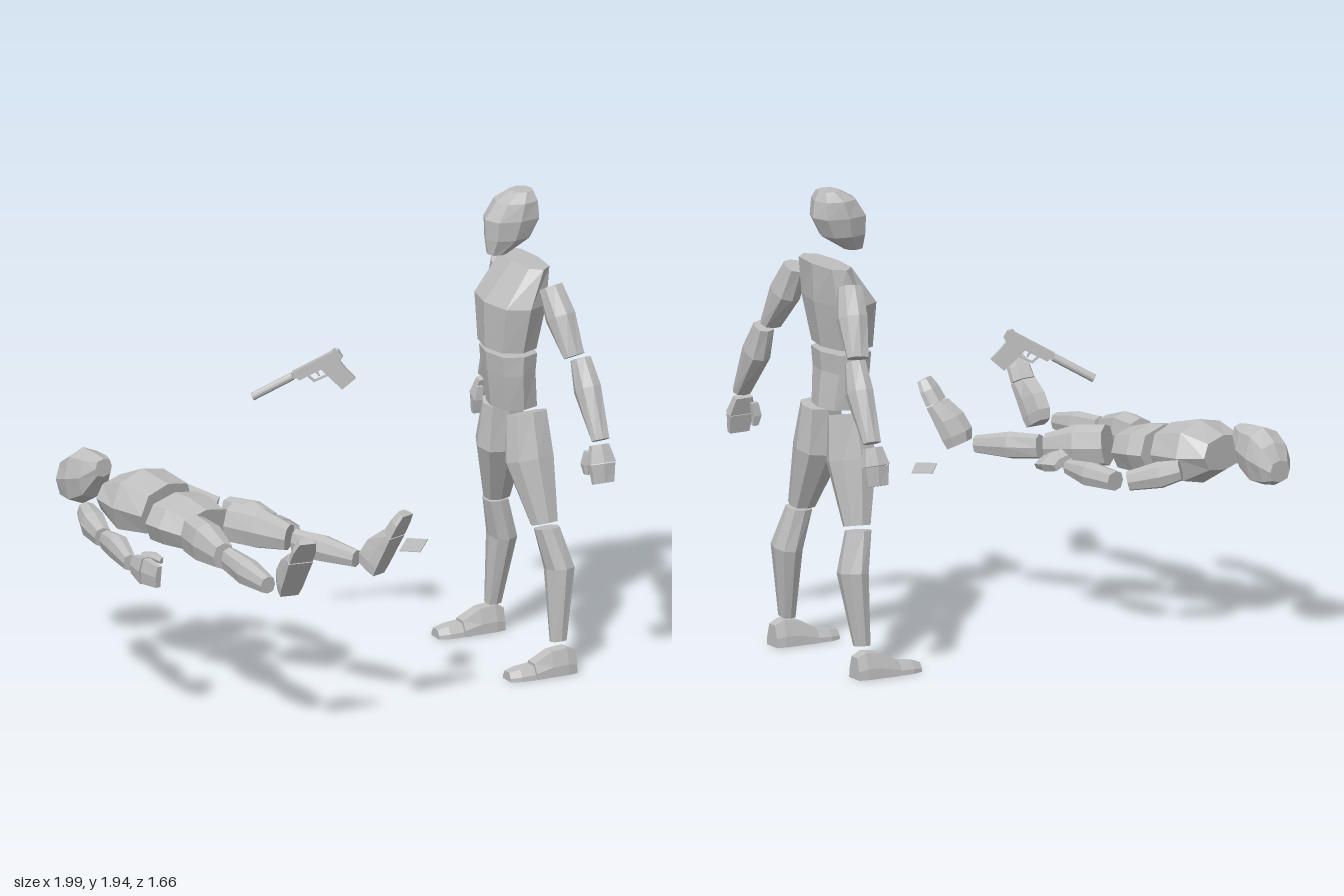
import * as THREE from 'three';

const grey = new THREE.MeshStandardMaterial({ color: 0xbfbfbf, flatShading: true });
grey.name = 'plain grey';

const V = (a) => new THREE.Vector3(...a);
const X = [1, 0, 0], Y = [0, 1, 0], Z = [0, 0, 1];
const ROUND = [[1, 0], [0.76, 0.76], [0, 1], [-0.76, 0.76], [-1, 0], [-0.76, -0.76], [0, -1], [0.76, -0.76]];
const SOLE = [[-1, -1], [1, -1], [0.95, -0.2], [0.55, 1], [-0.55, 1], [-0.95, -0.2]];
const BLOCK = [[-1, -0.8], [1, -0.8], [1, 0.6], [0, 1], [-1, 0.6]];

// Faceted solid through rows of [x, y, z, halfWidth, halfDepth]; depth follows the hint axis
function loft(name, hint, rows, ring = ROUND, axis) {
  const t = (axis ? V(axis) : V(rows.at(-1)).sub(V(rows[0]))).normalize();
  const u = V(hint).cross(t).normalize();
  const v = t.clone().cross(u);
  const n = ring.length, pts = [];
  const rings = rows.map(([x, y, z, a, b]) => ring.map(([p, q]) =>
    new THREE.Vector3(x, y, z).addScaledVector(u, p * a).addScaledVector(v, q * b)));
  for (let r = 0; r < rings.length - 1; r++) {
    const A = rings[r], B = rings[r + 1];
    for (let i = 0; i < n; i++) {
      const j = (i + 1) % n;
      pts.push(A[i], A[j], B[j], A[i], B[j], B[i]);
    }
  }
  const first = rings[0], last = rings.at(-1);
  for (let i = 1; i < n - 1; i++) {
    pts.push(first[0], first[i + 1], first[i], last[0], last[i], last[i + 1]);
  }
  const geo = new THREE.BufferGeometry().setFromPoints(pts);
  geo.computeVertexNormals();
  const mesh = new THREE.Mesh(geo, grey);
  mesh.name = name;
  return mesh;
}

// Put a part so that its +z points forward and its +y follows the up hint
function place(part, origin, forward, up) {
  const t = V(forward).normalize();
  const u = V(up).cross(t).normalize();
  const m = new THREE.Matrix4().makeBasis(u, t.clone().cross(u), t);
  part.quaternion.setFromRotationMatrix(m);
  part.position.set(...origin);
  return part;
}

function group(name, ...parts) {
  const g = new THREE.Group();
  g.name = name;
  g.add(...parts);
  return g;
}

// Head, facing +z
const head = () => group('head', loft('skull', Z, [
  [0, -0.125, 0.068, 0.04, 0.038], [0, -0.06, 0.02, 0.078, 0.095], [0, 0.02, 0, 0.092, 0.118],
  [0, 0.09, -0.02, 0.083, 0.088], [0, 0.127, -0.045, 0.05, 0.045]], ROUND, Y));

// Foot with separate toe block, heel at the origin, toes towards +z
const foot = () => group('foot',
  loft('heel and instep', Y, [
    [0, 0.045, 0, 0.04, 0.045], [0, 0.054, 0.04, 0.048, 0.054],
    [0, 0.05, 0.11, 0.05, 0.05], [0, 0.03, 0.185, 0.054, 0.03]], SOLE, Z),
  loft('toes', Y, [
    [0, 0.026, 0.19, 0.052, 0.026], [0, 0.023, 0.25, 0.05, 0.023],
    [0, 0.018, 0.295, 0.036, 0.018]], SOLE, Z));

// Hand with fingers towards +z, thumb on the given side
const hand = (side) => group('hand',
  loft('palm', Y, [[0, 0, 0, 0.038, 0.02], [0, 0.002, 0.075, 0.056, 0.026]], BLOCK, Z),
  loft('fingers', Y, [[0, 0, 0.078, 0.054, 0.022], [0, -0.012, 0.155, 0.045, 0.015]], BLOCK, Z),
  loft('thumb', Y, [[side * 0.04, -0.025, 0.02, 0.014, 0.016], [side * 0.05, -0.045, 0.07, 0.017, 0.017],
    [side * 0.046, -0.055, 0.11, 0.011, 0.012]], BLOCK));

// Upright figure, facing -x, mirrored about z = -0.05
function standingFigure() {
  const c = -0.05;
  const g = group('standingFigure',
    place(head(), [0.8, 1.812, c], [-1, 0, 0], Y),
    loft('chest', X, [[0.78, 1.3, c, 0.147, 0.1], [0.795, 1.49, c, 0.187, 0.118],
      [0.86, 1.645, c, 0.17, 0.06]], ROUND, Y),
    loft('abdomen', X, [[0.8, 1.05, c, 0.115, 0.093], [0.785, 1.2, c, 0.137, 0.093],
      [0.785, 1.28, c, 0.142, 0.1]], ROUND, Y));
  for (const s of [1, -1]) {
    const limb = (name, rows) => loft(name, X, rows.map(([x, y, d, a, b]) => [x, y, c + s * d, a, b]));
    g.add(
      limb('upperArm', [[0.87, 1.585, 0.21, 0.042, 0.052], [0.89, 1.47, 0.26, 0.062, 0.06],
        [0.91, 1.325, 0.34, 0.03, 0.048]]),
      limb('forearm', [[0.932, 1.315, 0.355, 0.037, 0.043], [0.94, 1.2, 0.4, 0.06, 0.053],
        [0.945, 1.015, 0.508, 0.026, 0.04]]),
      limb('thigh', [[0.815, 1.035, 0.105, 0.06, 0.09], [0.815, 0.85, 0.13, 0.085, 0.103],
        [0.84, 0.6, 0.215, 0.046, 0.057]]),
      limb('shin', [[0.843, 0.585, 0.23, 0.048, 0.053], [0.885, 0.42, 0.257, 0.07, 0.057],
        [0.863, 0.125, 0.292, 0.033, 0.034]]),
      place(foot(), [0.915, 0, c + s * 0.32], [-1, 0, 0], Y),
      place(hand(-s), [0.94, 0.995, c + s * 0.505], [0, -0.15, s * 0.05], [0, 0, s]));
  }
  return g;
}

// Figure lying on its back, head towards -z
function lyingFigure() {
  const part = (name, rows) => loft(name, Y, rows);
  return group('lyingFigure',
    place(head(), [-0.78, 0.78, -0.7], Y, [-0.15, 0, -1]),
    part('chest', [[-0.625, 0.74, -0.285, 0.153, 0.105], [-0.675, 0.75, -0.42, 0.17, 0.13],
      [-0.72, 0.76, -0.525, 0.135, 0.07]]),
    part('abdomen', [[-0.565, 0.705, -0.065, 0.13, 0.085], [-0.597, 0.72, -0.165, 0.16, 0.1],
      [-0.622, 0.725, -0.235, 0.158, 0.1]]),
    part('rightUpperArm', [[-0.905, 0.72, -0.45, 0.037, 0.045], [-0.925, 0.7, -0.345, 0.052, 0.058],
      [-0.94, 0.68, -0.225, 0.036, 0.042]]),
    part('rightForearm', [[-0.94, 0.68, -0.19, 0.034, 0.042], [-0.945, 0.68, -0.08, 0.045, 0.052],
      [-0.967, 0.66, 0.07, 0.028, 0.034]]),
    place(hand(1), [-0.96, 0.66, 0.09], [0.025, -0.02, 0.16], [-1, 0, 0.2]),
    part('leftUpperArm', [[-0.5, 0.72, -0.55, 0.035, 0.042], [-0.43, 0.7, -0.505, 0.047, 0.055],
      [-0.33, 0.67, -0.425, 0.032, 0.04]]),
    part('leftForearm', [[-0.285, 0.67, -0.4, 0.042, 0.04], [-0.25, 0.675, -0.27, 0.052, 0.05],
      [-0.228, 0.68, -0.13, 0.028, 0.03]]),
    place(hand(-1), [-0.22, 0.69, -0.095], [0, -0.01, 0.16], [0.5, 1, 0]),
    part('rightThigh', [[-0.645, 0.715, 0.0, 0.06, 0.085], [-0.65, 0.715, 0.13, 0.068, 0.085],
      [-0.65, 0.7, 0.275, 0.045, 0.055]]),
    part('rightShin', [[-0.64, 0.695, 0.3, 0.037, 0.05], [-0.63, 0.68, 0.45, 0.05, 0.055],
      [-0.615, 0.665, 0.6, 0.033, 0.036]]),
    place(foot(), [-0.56, 0.635, 0.68], [0.01, 0.27, 0.155], [0, 0, -1]),
    part('leftThigh', [[-0.455, 0.725, -0.055, 0.068, 0.085], [-0.375, 0.715, 0.04, 0.072, 0.085],
      [-0.295, 0.695, 0.15, 0.045, 0.055]]),
    part('leftShin', [[-0.285, 0.69, 0.185, 0.035, 0.05], [-0.22, 0.68, 0.3, 0.05, 0.055],
      [-0.14, 0.665, 0.44, 0.03, 0.036]]),
    place(foot(), [-0.105, 0.63, 0.57], [0.08, 0.26, 0.1], [-0.5, 0, -0.85]));
}

// Flat plate cut from an outline, centred on z
function plate(name, outline, depth, hole) {
  const shape = new THREE.Shape(outline.map((p) => new THREE.Vector2(...p)));
  if (hole) shape.holes.push(new THREE.Path(hole.map((p) => new THREE.Vector2(...p))));
  const geo = new THREE.ExtrudeGeometry(shape, { depth, bevelEnabled: false });
  geo.translate(0, 0, -depth / 2);
  const mesh = new THREE.Mesh(geo, grey);
  mesh.name = name;
  return mesh;
}

// Pistol with suppressor, muzzle at the origin, barrel along +x
function pistol() {
  const tube = new THREE.Mesh(new THREE.CylinderGeometry(0.017, 0.017, 0.185, 12).rotateZ(Math.PI / 2), grey);
  tube.name = 'suppressor';
  tube.position.x = 0.0925;
  const sight = new THREE.Mesh(new THREE.BoxGeometry(0.012, 0.008, 0.012), grey);
  sight.name = 'rearSight';
  sight.position.set(0.383, 0.018, 0);
  const g = group('pistol', tube, sight,
    plate('slide', [[0.185, -0.012], [0.4, -0.012], [0.4, 0.01], [0.39, 0.016], [0.19, 0.016]], 0.03),
    plate('frame and grip', [[0.195, -0.012], [0.2, -0.026], [0.3, -0.028], [0.308, -0.055],
      [0.333, -0.141], [0.403, -0.126], [0.388, -0.07], [0.382, -0.035], [0.402, -0.022], [0.4, -0.012]], 0.026),
    plate('triggerGuard', [[0.235, -0.024], [0.247, -0.062], [0.315, -0.066], [0.318, -0.024]], 0.014,
      [[0.244, -0.026], [0.253, -0.055], [0.305, -0.058], [0.3, -0.026]]),
    plate('trigger', [[0.272, -0.026], [0.276, -0.05], [0.281, -0.05], [0.284, -0.026]], 0.008));
  g.position.set(-0.178, 1.11, -0.413);
  g.rotation.set(0, -0.5, 0.503);
  return g;
}

export function createModel() {
  const card = new THREE.Mesh(new THREE.BoxGeometry(0.168, 0.004, 0.085), grey);
  card.name = 'card';
  card.position.set(0.187, 0.636, 0.3);
  card.rotation.y = 0.925;
  return group('scene', standingFigure(), lyingFigure(), pistol(), card);
}
